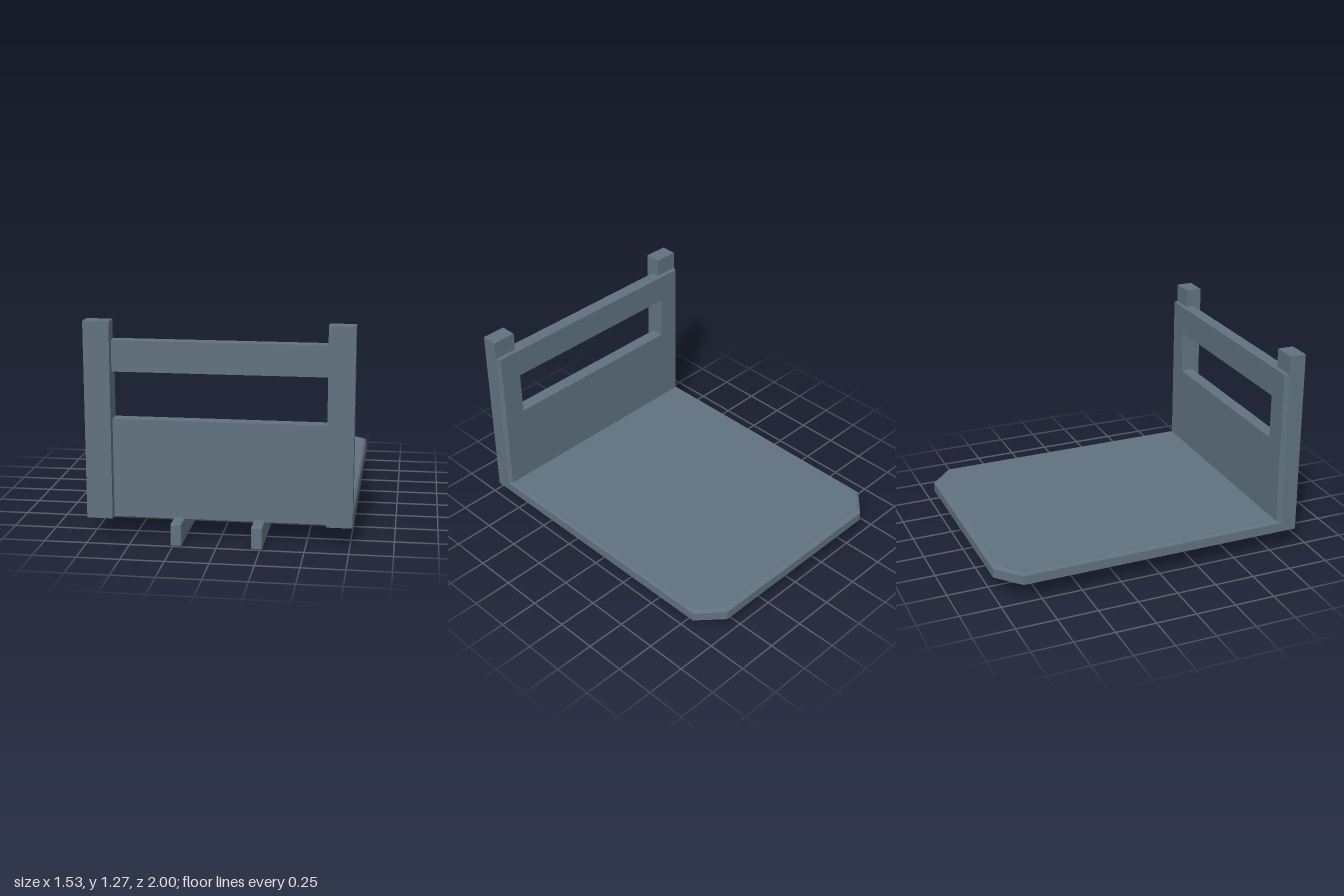
import * as THREE from 'three';
import { ConvexGeometry } from 'three/addons/geometries/ConvexGeometry.js';
import { RoundedBoxGeometry } from 'three/addons/geometries/RoundedBoxGeometry.js';

export function createModel() {
  const group = new THREE.Group();
  const material = new THREE.MeshStandardMaterial({ color: 0x60727e });

  const add = (name, geometry, x = 0, y = 0, z = 0) => {
    const mesh = new THREE.Mesh(geometry, material);
    mesh.name = name;
    mesh.position.set(x, y, z);
    group.add(mesh);
  };

  // Extrude a plan outline of [x, z] points upward from y0 to y1
  const addUpright = (name, plan, y0, y1) => {
    const shape = new THREE.Shape(plan.map(([x, z]) => new THREE.Vector2(x, -z)));
    const geometry = new THREE.ExtrudeGeometry(shape, { depth: y1 - y0, bevelEnabled: false });
    add(name, geometry.rotateX(-Math.PI / 2), 0, y0, 0);
  };

  // Deck: clipped rear corners and a shallow bevel around the top edge
  const deckRing = (y, side, rear) => {
    const half = 0.765 - side;
    return [[half, 0.815], [half, -0.865 + rear / 3], [0.615 - side / 2, -1 + rear]]
      .flatMap(([x, z]) => [new THREE.Vector3(x, y, z), new THREE.Vector3(-x, y, z)]);
  };
  add('deck', new ConvexGeometry([
    ...deckRing(0.125, 0, 0), ...deckRing(0.183, 0, 0), ...deckRing(0.195, 0.012, 0.03),
  ]));

  // Headboard: lower panel and top rail share one stepped, chamfered plan
  const boardPlan = [
    [-0.75, 0.787], [0.75, 0.787], [0.765, 0.815], [0.615, 0.815],
    [0.615, 0.867], [-0.615, 0.867], [-0.615, 0.815], [-0.765, 0.815],
  ];
  addUpright('lowerPanel', boardPlan, 0.125, 0.705);
  addUpright('topRail', boardPlan, 0.98, 1.16);

  for (const [side, s] of [['left', 1], ['right', -1]]) {
    // Strip beside the window, joining panel and rail behind the post
    const stripPlan = [[0.615, 0.787], [0.75, 0.787], [0.765, 0.815], [0.615, 0.815]];
    addUpright(side + 'WindowStrip', stripPlan.map(([x, z]) => [s * x, z]), 0.705, 0.98);

    // Corner post
    add(side + 'Post', new THREE.BoxGeometry(0.15, 1.15, 0.1), s * 0.69, 0.7, 0.865);

    // Runner under the deck, with softened edges
    add(side + 'Runner', new RoundedBoxGeometry(0.065, 0.135, 1.865, 2, 0.01),
      s * 0.231, 0.0685, 0.0675);
  }

  return group;
}
